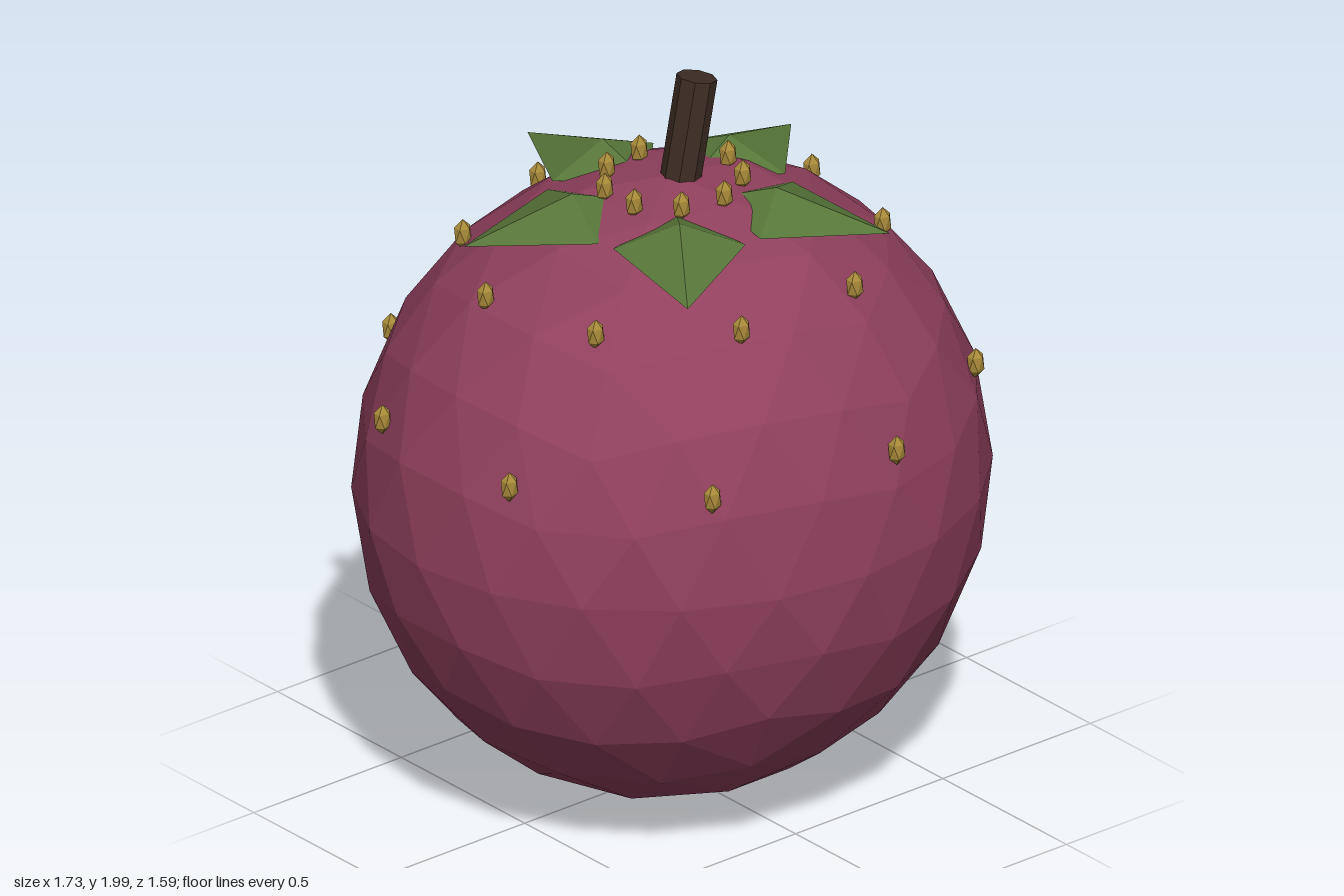
import * as THREE from 'three';
import { ConvexGeometry } from 'three/addons/geometries/ConvexGeometry.js';

const mat = (name, color) => {
  const m = new THREE.MeshStandardMaterial({ color, flatShading: true });
  m.name = name;
  return m;
};

// Icosahedron standing on a vertex, each level halving every edge
function icoSphere(levels) {
  const ring = Math.sqrt(0.8), h = Math.sqrt(0.2);
  const verts = [0, 1, 0];
  for (let k = 0; k < 5; k++) {
    const a = k * Math.PI * 0.4, b = a + Math.PI / 5;
    verts.push(ring * Math.cos(a), h, ring * Math.sin(a));
    verts.push(ring * Math.cos(b), -h, ring * Math.sin(b));
  }
  verts.push(0, -1, 0);
  const faces = [];
  for (let k = 0; k < 5; k++) {
    const n = (k + 1) % 5;
    const u = 1 + 2 * k, l = u + 1, un = 1 + 2 * n, ln = un + 1;
    faces.push(0, un, u, u, un, l, l, un, ln, 11, l, ln);
  }
  let geo = new THREE.PolyhedronGeometry(verts, faces, 1, 0);
  for (let i = 0; i < levels; i++) {
    const p = Array.from(geo.attributes.position.array);
    geo = new THREE.PolyhedronGeometry(p, p.slice(0, p.length / 3).map((_, j) => j), 1, 1);
  }
  return geo;
}

export function createModel() {
  const model = new THREE.Group();
  model.name = 'fruit';
  const skin = mat('wineSkin', 0x90405d);
  const green = mat('leafGreen', 0x577639);
  const gold = mat('seedGold', 0xa98a3a);
  const bark = mat('stemBrown', 0x3d2c24);

  const add = (name, geo, material, parent = model) => {
    const mesh = new THREE.Mesh(geo, material);
    mesh.name = name;
    parent.add(mesh);
    return mesh;
  };

  // Round body, slightly narrower from front to back
  const body = add('body', icoSphere(2), skin);
  body.scale.set(0.863, 0.863, 0.793);
  body.position.y = 0.868;

  // Leaning stem
  const stem = add('stem', new THREE.CylinderGeometry(0.054, 0.054, 0.3, 8), bark);
  stem.position.set(0.055, 1.841, 0);
  stem.rotation.z = -0.2;

  // Five pointed leaves with a raised ridge, sunk into the body at the inner end
  const leafGeo = new ConvexGeometry([
    [0.585, 1.63, 0], [0.28, 1.727, 0], [0.1, 1.675, 0],
    [0.28, 1.66, 0.172], [0.28, 1.66, -0.172], [0.28, 1.62, 0],
  ].map((p) => new THREE.Vector3(...p)));
  const leaves = new THREE.Group();
  leaves.name = 'leaves';
  model.add(leaves);
  for (let i = 0; i < 5; i++) {
    add('leaf', leafGeo, green, leaves).rotation.y = Math.PI / 2 + i * Math.PI * 0.4;
  }

  // Three rings of nine seeds: radius, height, starting angle
  const seedGeo = icoSphere(0).scale(0.027, 0.043, 0.022);
  const seeds = new THREE.Group();
  seeds.name = 'seeds';
  model.add(seeds);
  for (const [r, y, start] of [[0.19, 1.727, 0], [0.573, 1.528, 0.5], [0.817, 1.167, 0]]) {
    for (let i = 0; i < 9; i++) {
      const a = start + (i * Math.PI * 2) / 9;
      add('seed', seedGeo, gold, seeds).position.set(r * Math.cos(a), y, r * 0.92 * Math.sin(a));
    }
  }
  return model;
}
